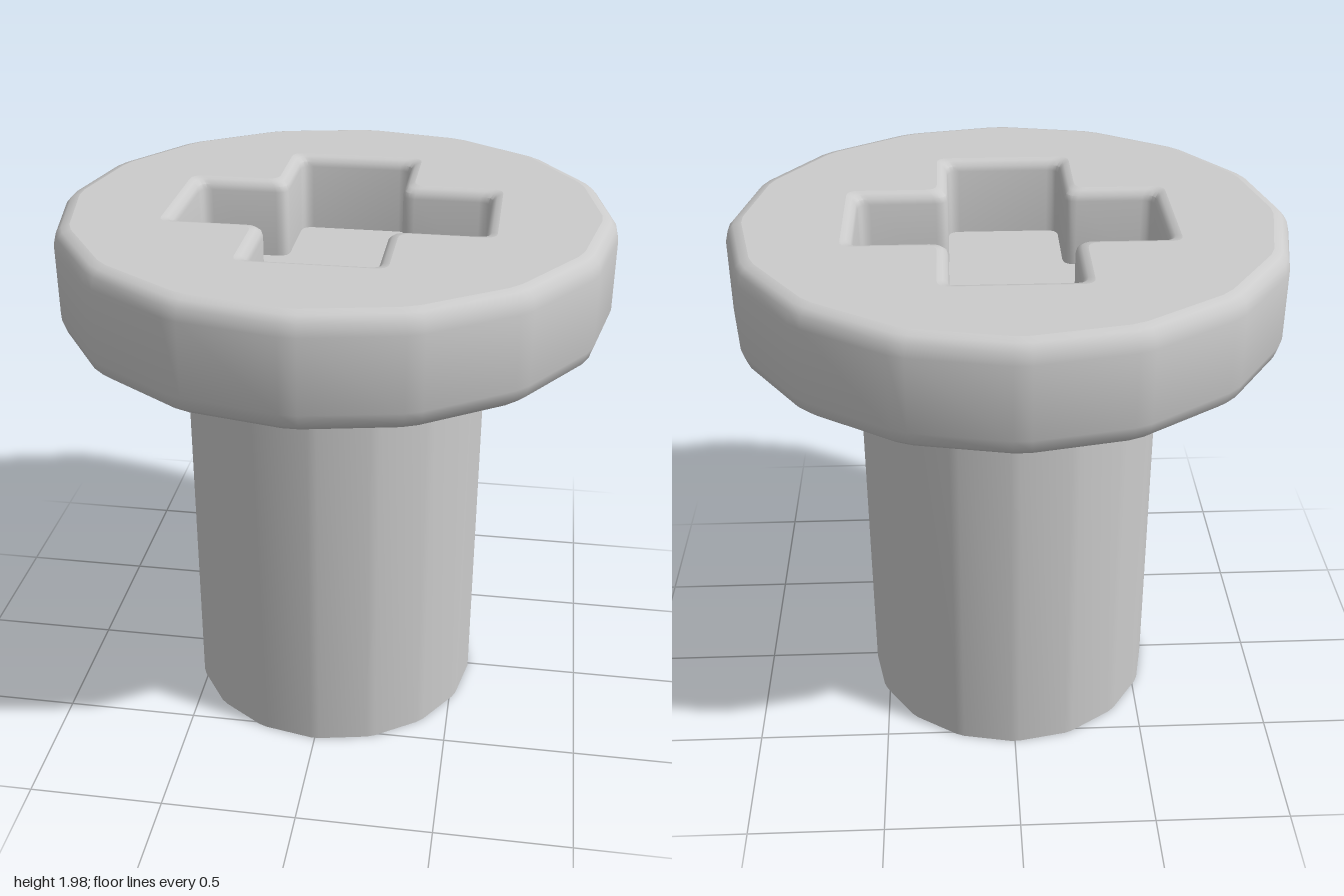
import * as THREE from 'three';
import { toCreasedNormals } from 'three/addons/utils/BufferGeometryUtils.js';

const material = new THREE.MeshStandardMaterial({ color: 0xcccccc });

// Rounds every corner of a closed outline; points are (x, z)
function soften(corners, radius, steps) {
  const points = [];
  const n = corners.length;
  corners.forEach((p, i) => {
    const toward = (q) => p.clone().add(q.clone().sub(p).setLength(radius));
    const curve = new THREE.QuadraticBezierCurve(
      toward(corners[(i + n - 1) % n]), p, toward(corners[(i + 1) % n]));
    points.push(...curve.getPoints(steps));
  });
  return points;
}

// Sixteen-sided outline with narrow chamfered corners
function roundOutline(radius) {
  const corners = [];
  for (let i = 0; i < 16; i++) {
    const a = (i / 16) * Math.PI * 2;
    corners.push(new THREE.Vector2(Math.cos(a), Math.sin(a)).multiplyScalar(radius));
  }
  return soften(corners, 0.03 * radius, 1);
}

// Cross outline, grown outwards by an offset
function crossOutline(offset) {
  const w = 0.215 + offset, reach = 0.545 + offset;
  const corners = [];
  for (let k = 0; k < 4; k++) {
    for (const [x, z] of [[reach, -w], [reach, w], [w, w]]) {
      corners.push(new THREE.Vector2(x, z).rotateAround(new THREE.Vector2(), k * Math.PI / 2));
    }
  }
  return soften(corners, 0.045, 4);
}

// Skin through stacked outlines: bottom-up faces outwards, top-down inwards
function loft(rings) {
  const positions = [], index = [];
  const n = rings[0].points.length;
  rings.forEach(({ points, y }, i) => {
    points.forEach((p, j) => {
      positions.push(p.x, y, p.y);
      if (i === rings.length - 1) return;
      const a = i * n + j, b = i * n + (j + 1) % n;
      index.push(a, a + n, b + n, a, b + n, b);
    });
  });
  const geometry = new THREE.BufferGeometry();
  geometry.setAttribute('position', new THREE.Float32BufferAttribute(positions, 3));
  geometry.setIndex(index);
  return toCreasedNormals(geometry, 0.65);
}

// Flat face at a height, facing up or down, with an optional opening
function cap(points, y, up, hole) {
  const flip = (list) => list.map((p) => new THREE.Vector2(p.x, up ? -p.y : p.y));
  const shape = new THREE.Shape(flip(points));
  if (hole) shape.holes.push(new THREE.Path(flip(hole)));
  return new THREE.ShapeGeometry(shape).rotateX(up ? -Math.PI / 2 : Math.PI / 2).translate(0, y, 0);
}

function part(name, geometries) {
  const group = new THREE.Group();
  group.name = name;
  for (const [label, geometry] of Object.entries(geometries)) {
    const mesh = new THREE.Mesh(geometry, material);
    mesh.name = label;
    group.add(mesh);
  }
  return group;
}

export function createModel() {
  const model = new THREE.Group();
  model.name = 'screw';

  // Shaft
  const shaft = roundOutline(0.563);
  model.add(part('shaft', {
    shaftSide: loft([{ points: shaft, y: 0 }, { points: shaft, y: 1.57 }]),
    shaftEnd: cap(shaft, 0, false),
  }));

  // Head with softened top and bottom edges
  const profile = [
    [0.91, 1.57], [0.955, 1.58], [0.985, 1.605], [1, 1.65],
    [1, 1.91], [0.99, 1.95], [0.97, 1.972], [0.94, 1.98],
  ];
  const headRings = profile.map(([r, y]) => ({ points: roundOutline(r * 1.003), y }));

  // Cross recess with a rounded lip
  const recessProfile = [[0.04, 1.98], [0.02, 1.975], [0.005, 1.96], [0, 1.94], [0, 1.69]];
  const recessRings = recessProfile.map(([offset, y]) => ({ points: crossOutline(offset), y }));

  model.add(part('head', {
    headSide: loft(headRings),
    headUnderside: cap(headRings[0].points, 1.57, false),
    headTop: cap(headRings.at(-1).points, 1.98, true, recessRings[0].points),
  }));
  model.add(part('crossRecess', {
    recessWall: loft(recessRings),
    recessFloor: cap(recessRings.at(-1).points, 1.69, true),
  }));
  return model;
}
